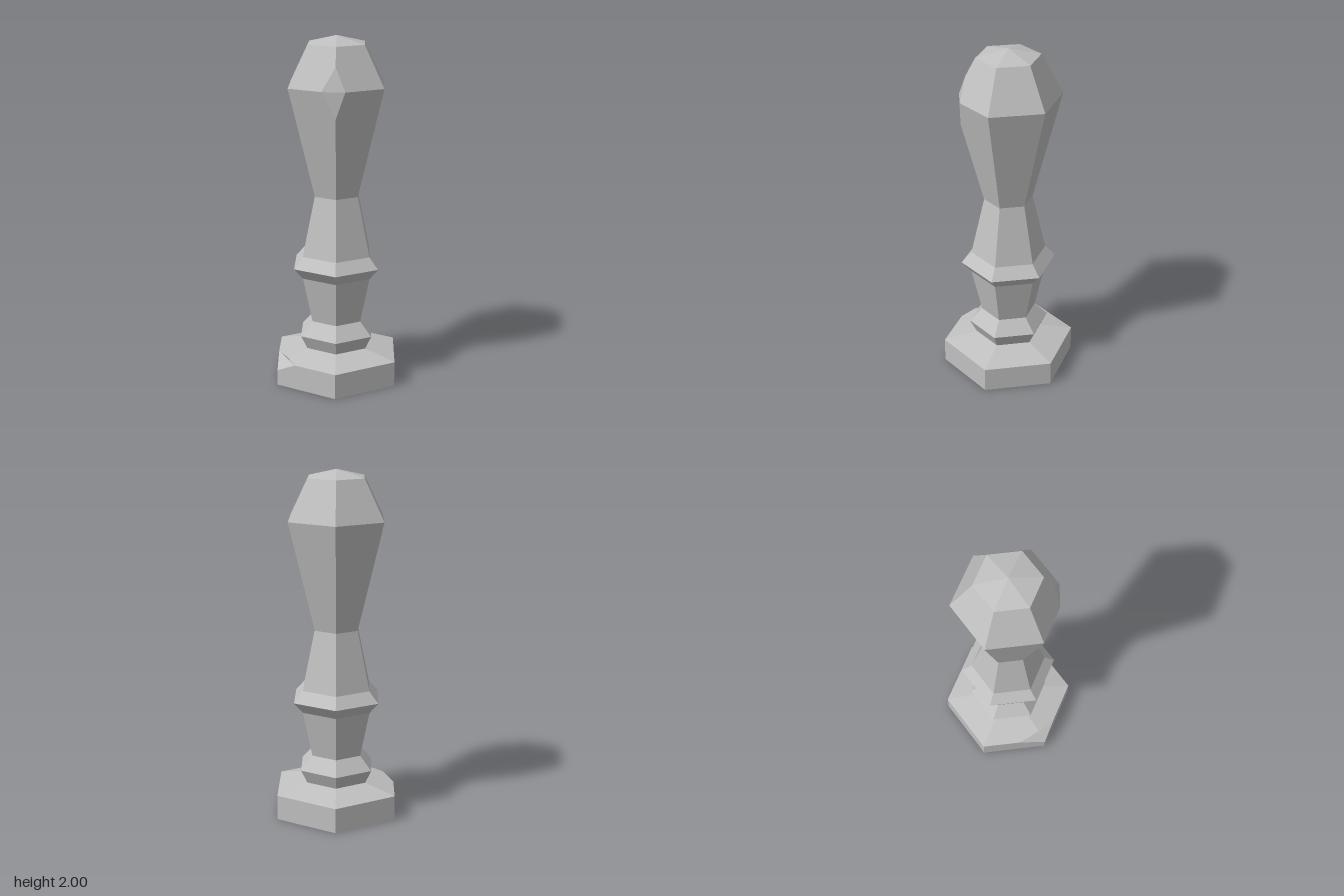
import * as THREE from 'three';

const SIDES = 6;

// Radius and height of each hexagonal ring, from the foot to the crown
const PROFILE = [
  [0.39, 0], [0.39, 0.145], [0.195, 0.19], [0.235, 0.27], [0.16, 0.35], [0.22, 0.62],
  [0.277, 0.685], [0.218, 0.75], [0.14, 1.095], [0.305, 1.725], [0.18, 1.957], [0, 2],
];

// Chipped corners: how far each cut runs along the four edges meeting there
const CHIPS = [
  { ring: 1, side: 2, up: 0.33, down: 0.38, next: 0.41, prev: 0.31 },
  { ring: 9, side: 1, up: 0.56, down: 0.24, next: 0.29, prev: 0.2 },
];

function corner(ring, side) {
  const [r, y] = PROFILE[ring];
  const a = (side / SIDES) * Math.PI * 2;
  return new THREE.Vector3(r * Math.cos(a), y, r * Math.sin(a));
}

function cutPoint(chip, dir) {
  const dRing = { up: 1, down: -1 }[dir] || 0;
  const dSide = { next: 1, prev: -1 }[dir] || 0;
  return corner(chip.ring, chip.side).lerp(corner(chip.ring + dRing, chip.side + dSide), chip[dir]);
}

// Builds the flat-faced surface between two rings of the profile
function section(from, to, { bottom = false } = {}) {
  const pos = [];
  const addPolygon = (pts) => {
    for (let k = 1; k < pts.length - 1; k++) {
      for (const p of [pts[0], pts[k], pts[k + 1]]) pos.push(p.x, p.y, p.z);
    }
  };
  // A corner of a facet, replaced by two cut points where it is chipped
  const facetCorner = (ring, side, first, second) => {
    const chip = CHIPS.find((c) => c.ring === ring && c.side === side % SIDES);
    return chip ? [cutPoint(chip, first), cutPoint(chip, second)] : [corner(ring, side)];
  };
  for (let j = from; j < to; j++) {
    for (let i = 0; i < SIDES; i++) {
      const pts = [
        ...facetCorner(j, i + 1, 'up', 'prev'),
        ...facetCorner(j, i, 'next', 'up'),
        ...facetCorner(j + 1, i, 'down', 'next'),
      ];
      if (PROFILE[j + 1][0] > 0) pts.push(...facetCorner(j + 1, i + 1, 'prev', 'down'));
      addPolygon(pts);
    }
  }
  // Facets left by the chips
  for (const c of CHIPS) {
    if (c.ring > from && c.ring < to) addPolygon(['next', 'down', 'prev', 'up'].map((d) => cutPoint(c, d)));
  }
  if (bottom) addPolygon(Array.from({ length: SIDES }, (_, i) => corner(0, i)));

  const geo = new THREE.BufferGeometry();
  geo.setAttribute('position', new THREE.Float32BufferAttribute(pos, 3));
  geo.computeVertexNormals();
  return geo;
}

export function createModel() {
  const group = new THREE.Group();
  group.name = 'hexagonalPost';
  const stone = new THREE.MeshStandardMaterial({ color: 0xc0c0c0 });
  stone.name = 'stone grey';
  stone.flatShading = true;

  const add = (name, geo) => {
    const mesh = new THREE.Mesh(geo, stone);
    mesh.name = name;
    group.add(mesh);
  };
  add('base', section(0, 2, { bottom: true }));
  add('lowerCollar', section(2, 4));
  add('stem', section(4, 5));
  add('upperCollar', section(5, 7));
  add('neck', section(7, 8));
  add('head', section(8, 11));
  return group;
}
